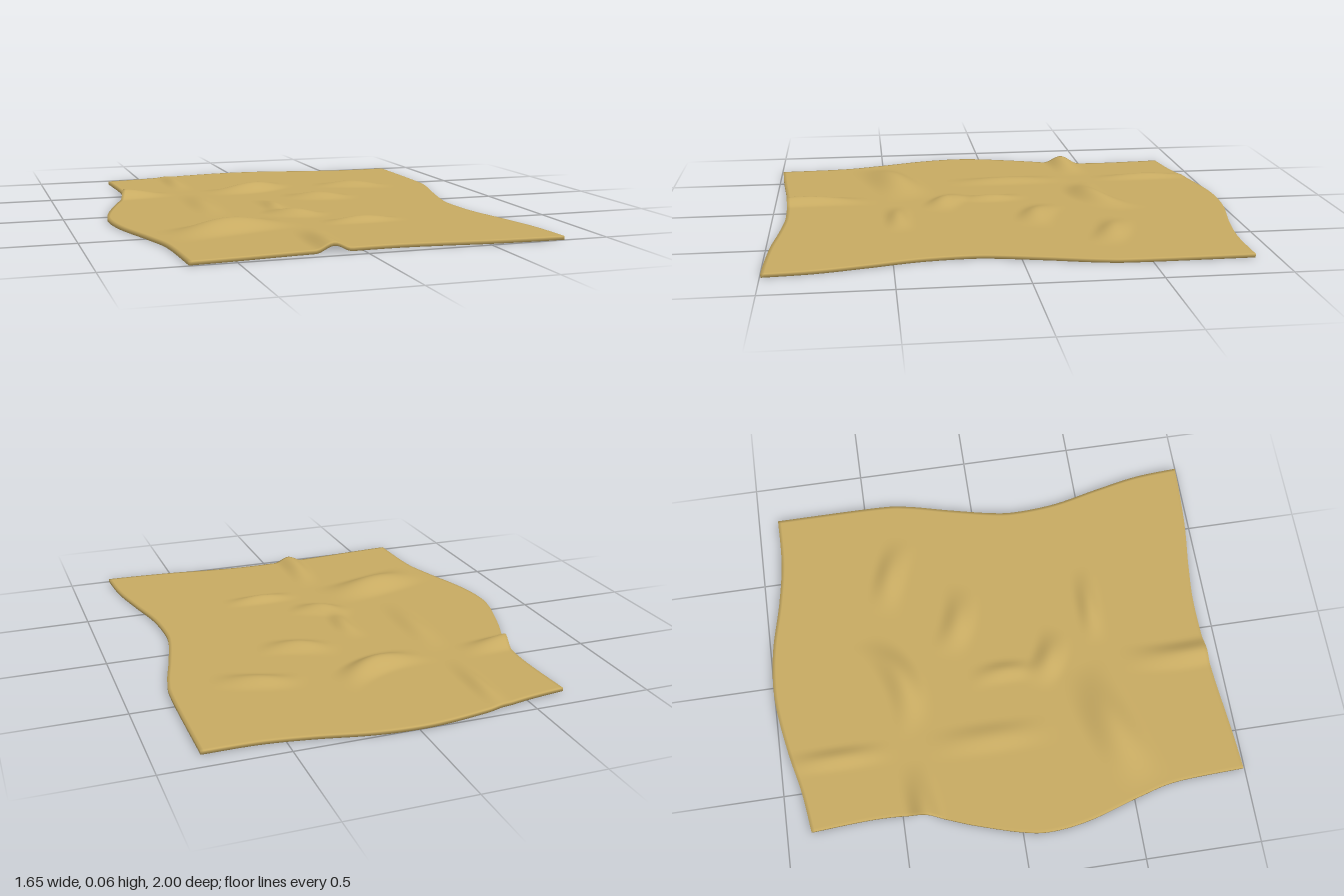
import * as THREE from 'three';

const NX = 110, NZ = 130, THICK = 0.015;

// Smooth outline edge through a few points, evenly sampled
const edge = (points, n) =>
  new THREE.SplineCurve(points.map(([x, z]) => new THREE.Vector2(x, z))).getSpacedPoints(n);

const back = edge([[-0.675, -0.895], [-0.5, -0.92], [-0.3, -0.965], [-0.1, -0.997], [0.05, -1],
  [0.2, -0.983], [0.4, -0.94], [0.6, -0.912], [0.82, -0.91]], NX);
const front = edge([[-0.675, 0.993], [-0.5, 0.98], [-0.2, 0.952], [0.1, 0.94], [0.3, 0.955],
  [0.5, 0.98], [0.7, 0.993], [0.815, 0.996]], NX);
const left = edge([[-0.675, -0.895], [-0.66, -0.6], [-0.68, -0.4], [-0.75, -0.2], [-0.81, 0],
  [-0.825, 0.13], [-0.8, 0.3], [-0.73, 0.53], [-0.69, 0.7], [-0.675, 0.993]], NZ);
const right = edge([[0.82, -0.91], [0.82, -0.45], [0.805, -0.3], [0.755, -0.1], [0.71, 0.1],
  [0.7, 0.22], [0.715, 0.4], [0.76, 0.6], [0.8, 0.8], [0.815, 0.996]], NZ);

// Wrinkles: centre x, centre z, direction, half length, half width, height, bend
const Z = Math.PI / 2;
const wrinkles = [
  [-0.70, -0.40, -0.1, 0.28, 0.085, 0.038, 0],
  [-0.05, -0.43, -0.35, 0.26, 0.10, 0.037, -1.2],
  [0.46, -0.42, 0.35, 0.21, 0.085, 0.023, 0.3],
  [0.19, -0.14, 0.35, 0.19, 0.09, 0.025, -0.8],
  [-0.08, 0.03, Z, 0.18, 0.06, 0.018, 0.8],
  [-0.05, 0.24, 0.5, 0.16, 0.085, 0.026, -1],
  [-0.40, 0.46, -0.3, 0.32, 0.14, 0.044, 0.2],
  [0.18, 0.46, 0, 0.20, 0.065, 0.022, 0],
  [-0.12, 0.88, Z - 0.03, 0.35, 0.075, 0.028, -0.3],
  [-0.37, -0.75, Z, 0.28, 0.06, 0.018, 0],
  [-0.375, -0.08, Z, 0.32, 0.08, 0.017, 0],
];

function liftAt(x, z) {
  let y = 0;
  for (const [cx, cz, angle, len, width, height, bend] of wrinkles) {
    const c = Math.cos(angle), s = Math.sin(angle);
    const u = (x - cx) * c + (z - cz) * s;
    const v = (z - cz) * c - (x - cx) * s - bend * u * u;
    if (Math.abs(u) >= len || Math.abs(v) >= width) continue;
    y += height * (Math.cos(u / len * Z) * Math.cos(v / width * Z)) ** 2;
  }
  return y;
}

// Blend the four outline edges into one surface
function surfacePoint(i, j) {
  const s = i / NX, t = j / NZ;
  const blend = (k) =>
    (1 - t) * back[i][k] + t * front[i][k] + (1 - s) * left[j][k] + s * right[j][k]
    - (1 - s) * (1 - t) * back[0][k] - s * (1 - t) * back[NX][k]
    - (1 - s) * t * front[0][k] - s * t * front[NX][k];
  return [blend('x'), blend('y')];
}

function clothGeometry() {
  const row = NX + 1, count = row * (NZ + 1);
  const positions = [], index = [];
  // Upper sheet, then lower sheet
  for (const base of [THICK, 0]) {
    for (let j = 0; j <= NZ; j++) {
      for (let i = 0; i <= NX; i++) {
        const [x, z] = surfacePoint(i, j);
        positions.push(x, base + liftAt(x, z), z);
      }
    }
  }
  for (let j = 0; j < NZ; j++) {
    for (let i = 0; i < NX; i++) {
      const a = j * row + i, b = a + 1, c = a + row, d = c + 1;
      index.push(a, c, b, b, c, d);
      index.push(a + count, b + count, c + count, b + count, d + count, c + count);
    }
  }
  // Rim joining both sheets
  const loop = [];
  for (let i = 0; i < NX; i++) loop.push(NZ * row + i);
  for (let j = NZ; j > 0; j--) loop.push(j * row + NX);
  for (let i = NX; i > 0; i--) loop.push(i);
  for (let j = 0; j < NZ; j++) loop.push(j * row);
  loop.forEach((a, k) => {
    const b = loop[(k + 1) % loop.length];
    index.push(a + count, b + count, b, a + count, b, a);
  });
  const geometry = new THREE.BufferGeometry();
  geometry.setAttribute('position', new THREE.Float32BufferAttribute(positions, 3));
  geometry.setIndex(index);
  geometry.computeVertexNormals();
  return geometry;
}

export function createModel() {
  const group = new THREE.Group();
  group.name = 'wrinkledCloth';
  const cloth = new THREE.Mesh(clothGeometry(), new THREE.MeshStandardMaterial({ color: 0xc8ab62 }));
  cloth.name = 'cloth';
  group.add(cloth);
  return group;
}
